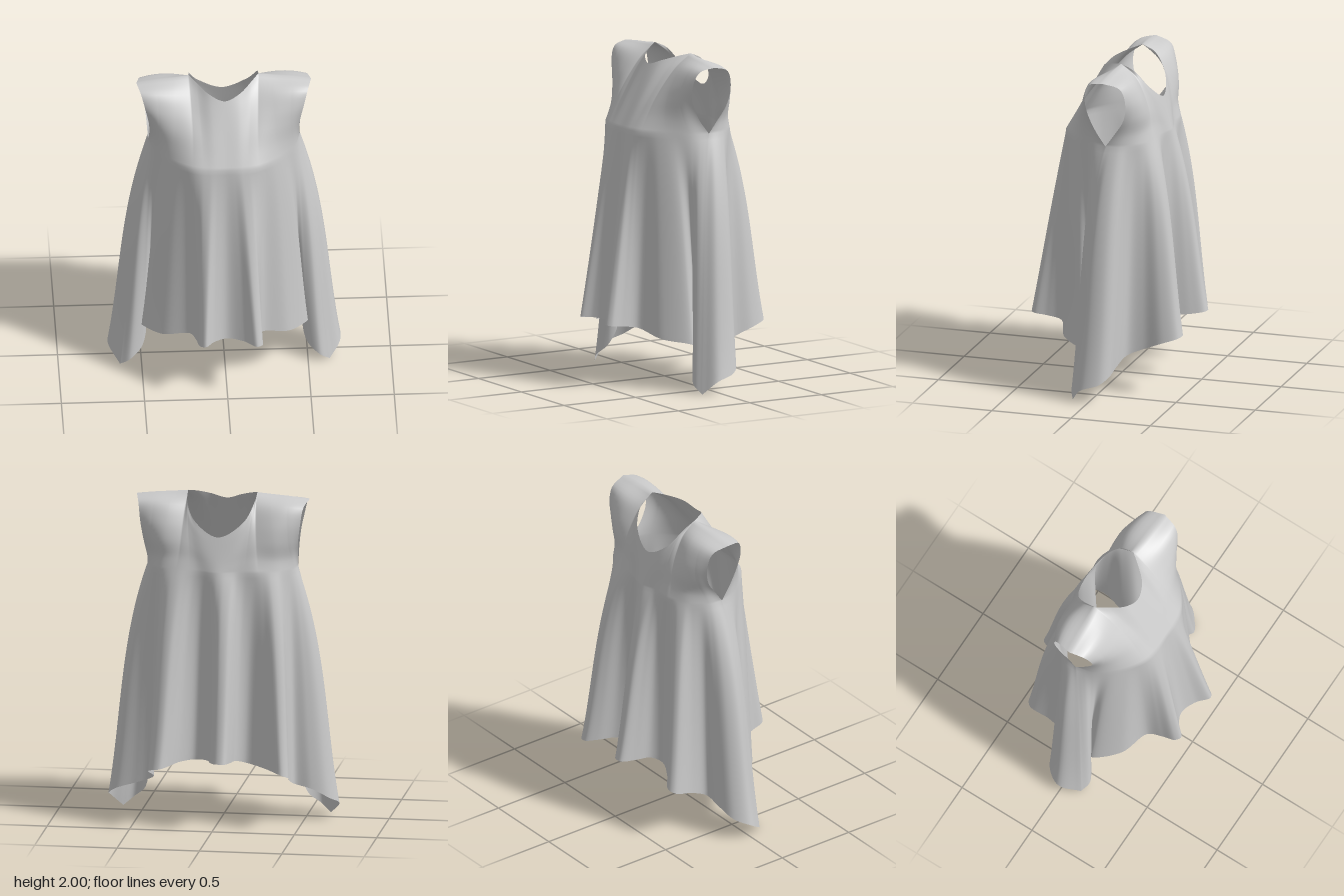
import * as THREE from 'three';
import { mergeGeometries, mergeVertices } from 'three/addons/utils/BufferGeometryUtils.js';

const COLS = 180, YOKE_ROWS = 24, SKIRT_ROWS = 40;

const curve = (pts) => new THREE.CatmullRomCurve3(pts.map((p) => new THREE.Vector3(...p)));
const mirrorX = (v) => new THREE.Vector3(-v.x, v.y, v.z);
const mirrorPoints = (pts) => pts.slice().reverse().map(([x, y, z]) => [-x, y, z]);

// Evaluates a half curve (side to centre) at s in [-1, 1], mirrored for negative s
function mirroredCurve(half) {
  const c = curve([...half, ...mirrorPoints(half.slice(0, -1))]);
  return (s) => c.getPoint((1 - s) / 2);
}

// Top edge: shoulder seam for |s| > 0.4, neckline inside it
const shoulder = curve([[0.21, 2.0, -0.06], [0.3, 1.99, -0.05], [0.41, 1.98, -0.045], [0.525, 1.965, -0.04]]);
function topEdge(neckPoints) {
  const neck = mirroredCurve(neckPoints);
  return (s) => {
    const a = Math.abs(s);
    if (a <= 0.4) return neck(s / 0.4);
    const p = shoulder.getPoint((a - 0.4) / 0.6);
    return s < 0 ? mirrorX(p) : p;
  };
}

// One half of the garment: a yoke between the armholes, then a flared, folded skirt
function panelGeometry({ neck, armhole, chest, hem, sideWeight, flare, outward }) {
  const top = topEdge(neck), ring = mirroredCurve(chest), arm = curve(armhole), hemLine = curve(hem);
  const positions = [], index = [];
  const armStart = arm.getPoint(0), armEnd = arm.getPoint(1);

  const yokePoint = (s, t) => {
    const p = ring(s).lerp(top(s), t);
    const bulge = arm.getPoint(t).sub(armStart.clone().lerp(armEnd, t)).multiplyScalar(sideWeight(s));
    if (s < 0) bulge.x *= -1;
    return p.add(bulge);
  };
  // The cloth swings out quickly below the chest, then hangs straight
  const skirtPoint = (s, v) => {
    const a = ring(s), b = hemLine.getPoint((1 - s) / 2);
    const k = THREE.MathUtils.lerp(flare, 1.1, Math.min(1, Math.abs(b.x) / 0.6) ** 2);
    const f = v + k * v * (1 - v) ** 2;
    return new THREE.Vector3(
      THREE.MathUtils.lerp(a.x, b.x, f),
      THREE.MathUtils.lerp(a.y, b.y, v),
      THREE.MathUtils.lerp(a.z, b.z, f));
  };

  const rows = YOKE_ROWS + SKIRT_ROWS;
  for (let j = 0; j <= rows; j++) {
    for (let i = 0; i <= COLS; i++) {
      const s = 1 - (2 * i) / COLS;
      const p = j <= YOKE_ROWS ? yokePoint(s, 1 - j / YOKE_ROWS) : skirtPoint(s, (j - YOKE_ROWS) / SKIRT_ROWS);
      positions.push(p.x, Math.max(0, p.y), p.z);
      if (i === COLS || j === rows) continue;
      const a = j * (COLS + 1) + i, b = a + 1, c = a + COLS + 1, d = c + 1;
      if (outward > 0) index.push(a, b, c, b, d, c);
      else index.push(a, c, b, b, c, d);
    }
  }
  const g = new THREE.BufferGeometry();
  g.setAttribute('position', new THREE.Float32BufferAttribute(positions, 3));
  g.setIndex(index);
  return g;
}

// Front: two soft folds at the centre, tucked in behind the side folds
const frontSide = [
  [0.63, 0, 0.11], [0.57, 0.05, 0.135], [0.495, 0.12, 0.095], [0.47, 0.24, 0.05],
  [0.5, 0.28, 0.1], [0.38, 0.31, 0.245], [0.22, 0.36, 0.315],
];
const front = {
  outward: 1,
  flare: 0.1,
  sideWeight: (s) => 1 - (1 - s * s) ** 2,
  neck: [[0.21, 2.0, -0.06], [0.165, 1.983, 0.0], [0.09, 1.95, 0.08], [0, 1.92, 0.11]],
  armhole: [
    [0.455, 1.55, -0.04], [0.45, 1.64, 0.025], [0.455, 1.75, 0.075],
    [0.475, 1.85, 0.085], [0.5, 1.94, 0.05], [0.525, 1.965, -0.04],
  ],
  chest: [
    [0.455, 1.55, -0.04], [0.425, 1.55, 0.075], [0.33, 1.55, 0.195],
    [0.2, 1.55, 0.29], [0.1, 1.55, 0.31], [0, 1.55, 0.31],
  ],
  hem: [
    ...frontSide,
    [0.205, 0.375, 0.41], [0.21, 0.385, 0.49], [0.175, 0.39, 0.515], [0.1, 0.39, 0.455], [0, 0.39, 0.42],
    [-0.08, 0.39, 0.455], [-0.13, 0.39, 0.505], [-0.165, 0.38, 0.48], [-0.185, 0.37, 0.4],
    ...mirrorPoints(frontSide),
  ],
};

// Back: three deep rounded folds plus the long side folds
const back = {
  outward: -1,
  flare: 0.8,
  sideWeight: (s) => 1 - (1 - s * s) ** 3,
  neck: [[0.21, 2.0, -0.06], [0.205, 1.96, -0.14], [0.15, 1.85, -0.22], [0, 1.76, -0.26]],
  armhole: [
    [0.455, 1.55, -0.04], [0.46, 1.62, -0.09], [0.47, 1.72, -0.155],
    [0.485, 1.83, -0.175], [0.5, 1.93, -0.145], [0.525, 1.965, -0.04],
  ],
  chest: [
    [0.455, 1.55, -0.04], [0.445, 1.55, -0.13], [0.37, 1.55, -0.235],
    [0.25, 1.55, -0.285], [0.12, 1.55, -0.29], [0, 1.55, -0.315],
  ],
  hem: [
    [0.63, 0, 0.11], [0.695, 0.08, 0.04], [0.69, 0.12, -0.07], [0.64, 0.16, -0.12], [0.52, 0.2, -0.135],
    [0.42, 0.24, -0.165], [0.39, 0.28, -0.26], [0.405, 0.33, -0.38], [0.375, 0.36, -0.47], [0.32, 0.37, -0.485],
    [0.27, 0.38, -0.43], [0.22, 0.385, -0.33], [0.14, 0.39, -0.275], [0.06, 0.4, -0.33], [0.02, 0.41, -0.44],
    [-0.02, 0.42, -0.515], [-0.075, 0.42, -0.515], [-0.1, 0.41, -0.42], [-0.12, 0.4, -0.32], [-0.18, 0.38, -0.28],
    [-0.3, 0.36, -0.335], [-0.4, 0.34, -0.405], [-0.44, 0.32, -0.38], [-0.43, 0.27, -0.24], [-0.45, 0.23, -0.15],
    [-0.55, 0.2, -0.14], [-0.65, 0.14, -0.1], [-0.7, 0.09, -0.01], [-0.63, 0, 0.11],
  ],
};

export function createModel() {
  const group = new THREE.Group();
  group.name = 'sleevelessTop';
  const material = new THREE.MeshStandardMaterial({ color: 0xcccccc, side: THREE.DoubleSide });

  // Weld both panels so normals run smoothly over the seams
  const welded = mergeVertices(mergeGeometries([panelGeometry(front), panelGeometry(back)]), 1e-4);
  welded.computeVertexNormals();
  const all = Array.from(welded.index.array), half = all.length / 2;

  ['frontPanel', 'backPanel'].forEach((name, i) => {
    const g = new THREE.BufferGeometry();
    g.setAttribute('position', welded.getAttribute('position'));
    g.setAttribute('normal', welded.getAttribute('normal'));
    g.setIndex(all.slice(i * half, (i + 1) * half));
    const mesh = new THREE.Mesh(g, material);
    mesh.name = name;
    group.add(mesh);
  });
  return group;
}
